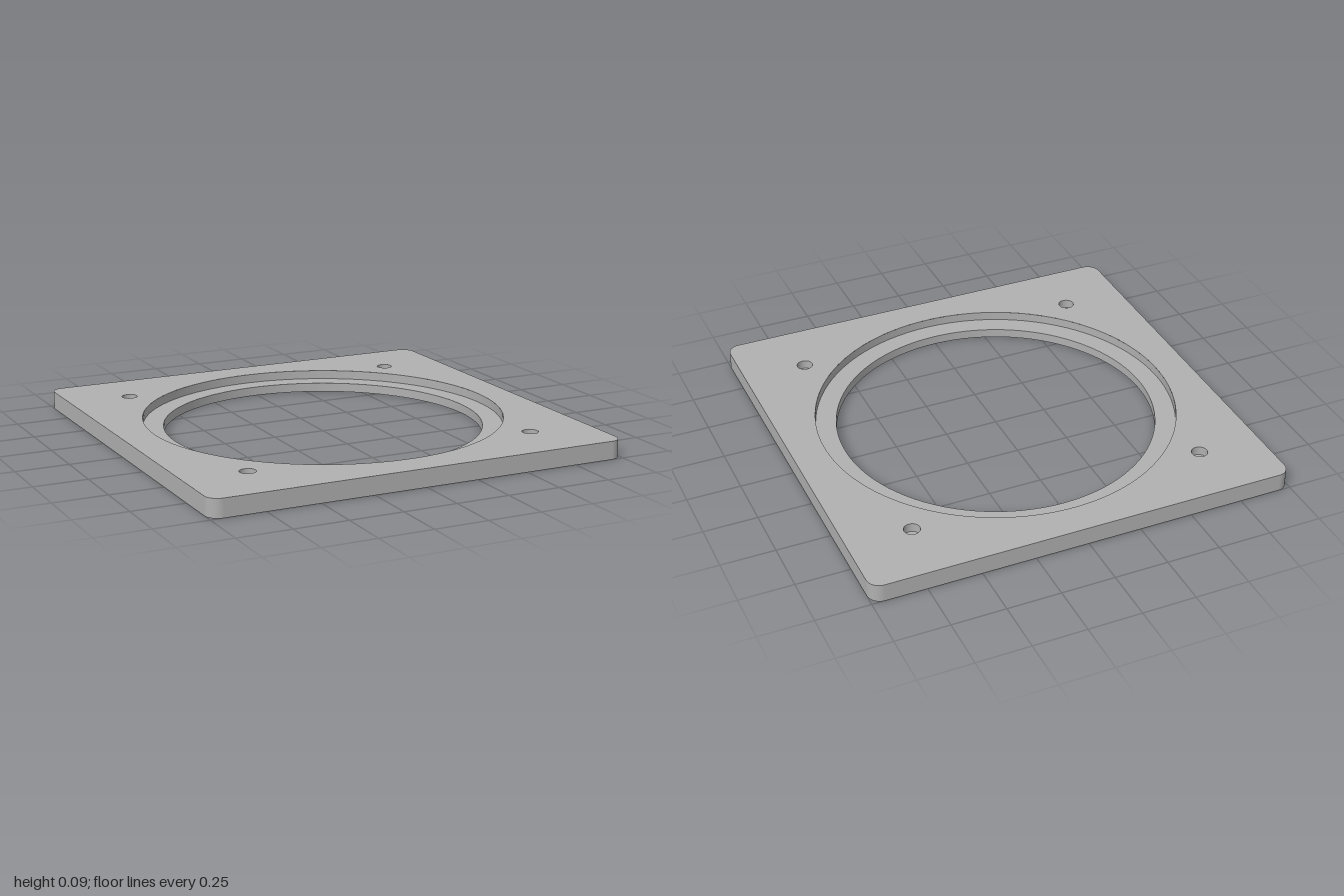
import * as THREE from 'three';

const H = 0.085;        // plate thickness
const LEDGE = 0.043;    // height of the recessed ledge
const R = 0.06;         // corner radius
const BORE = 0.746, RECESS = 0.842;
const SCREW = 0.037, SCREW_POS = 0.7;
const SEG = 96;

const grey = new THREE.MeshStandardMaterial({ color: 0xb0b0b0 });
grey.name = 'grey';

function part(name, geometry, parent) {
  const mesh = new THREE.Mesh(geometry, grey);
  mesh.name = name;
  parent.add(mesh);
  return mesh;
}

// One band of a turned surface between two (radius, height) points
function band(r0, y0, r1, y1, segments = SEG, start = 0, length = Math.PI * 2) {
  const profile = [new THREE.Vector2(r0, y0), new THREE.Vector2(r1, y1)];
  return new THREE.LatheGeometry(profile, segments, start, length);
}

function circle(x, y, r) {
  return new THREE.Path().absarc(x, y, r, 0, Math.PI * 2, true);
}

// Rounded square outline
function outline() {
  const c = 1 - R, s = new THREE.Shape();
  s.absarc(c, c, R, 0, Math.PI / 2);
  s.absarc(-c, c, R, Math.PI / 2, Math.PI);
  s.absarc(-c, -c, R, Math.PI, Math.PI * 1.5);
  s.absarc(c, -c, R, Math.PI * 1.5, Math.PI * 2);
  s.closePath();
  return s;
}

export function createModel() {
  const model = new THREE.Group();
  model.name = 'mountingPlate';

  // Top face with the recess and screw holes cut out
  const top = outline();
  top.holes.push(circle(0, 0, RECESS));
  for (const x of [-1, 1]) for (const z of [-1, 1]) {
    top.holes.push(circle(x * SCREW_POS, z * SCREW_POS, SCREW));
  }
  part('topFace', new THREE.ShapeGeometry(top, SEG).rotateX(-Math.PI / 2).translate(0, H, 0), model);

  // Bottom face with only the main bore
  const bottom = outline();
  bottom.holes.push(circle(0, 0, BORE));
  part('bottomFace', new THREE.ShapeGeometry(bottom, SEG).rotateX(Math.PI / 2), model);

  // Four sides, each with one rounded corner
  for (let k = 0; k < 4; k++) {
    const side = new THREE.Group();
    side.name = 'side';
    side.rotation.y = k * Math.PI / 2;
    part('sideWall', new THREE.PlaneGeometry(2 - 2 * R, H).translate(0, H / 2, 1), side);
    part('roundedCorner', band(R, 0, R, H, 24, 0, Math.PI / 2).translate(1 - R, 0, 1 - R), side);
    model.add(side);
  }

  // Stepped central opening
  part('recessWall', band(RECESS, H, RECESS, LEDGE), model);
  part('ledge', band(RECESS, LEDGE, BORE, LEDGE), model);
  part('boreWall', band(BORE, LEDGE, BORE, 0), model);

  // Blind screw holes
  for (const x of [-1, 1]) for (const z of [-1, 1]) {
    const hole = new THREE.Group();
    hole.name = 'screwHole';
    hole.position.set(x * SCREW_POS, 0, z * SCREW_POS);
    part('holeWall', band(SCREW, H, SCREW, LEDGE), hole);
    part('holeFloor', band(SCREW, LEDGE, 0, LEDGE), hole);
    model.add(hole);
  }

  return model;
}
